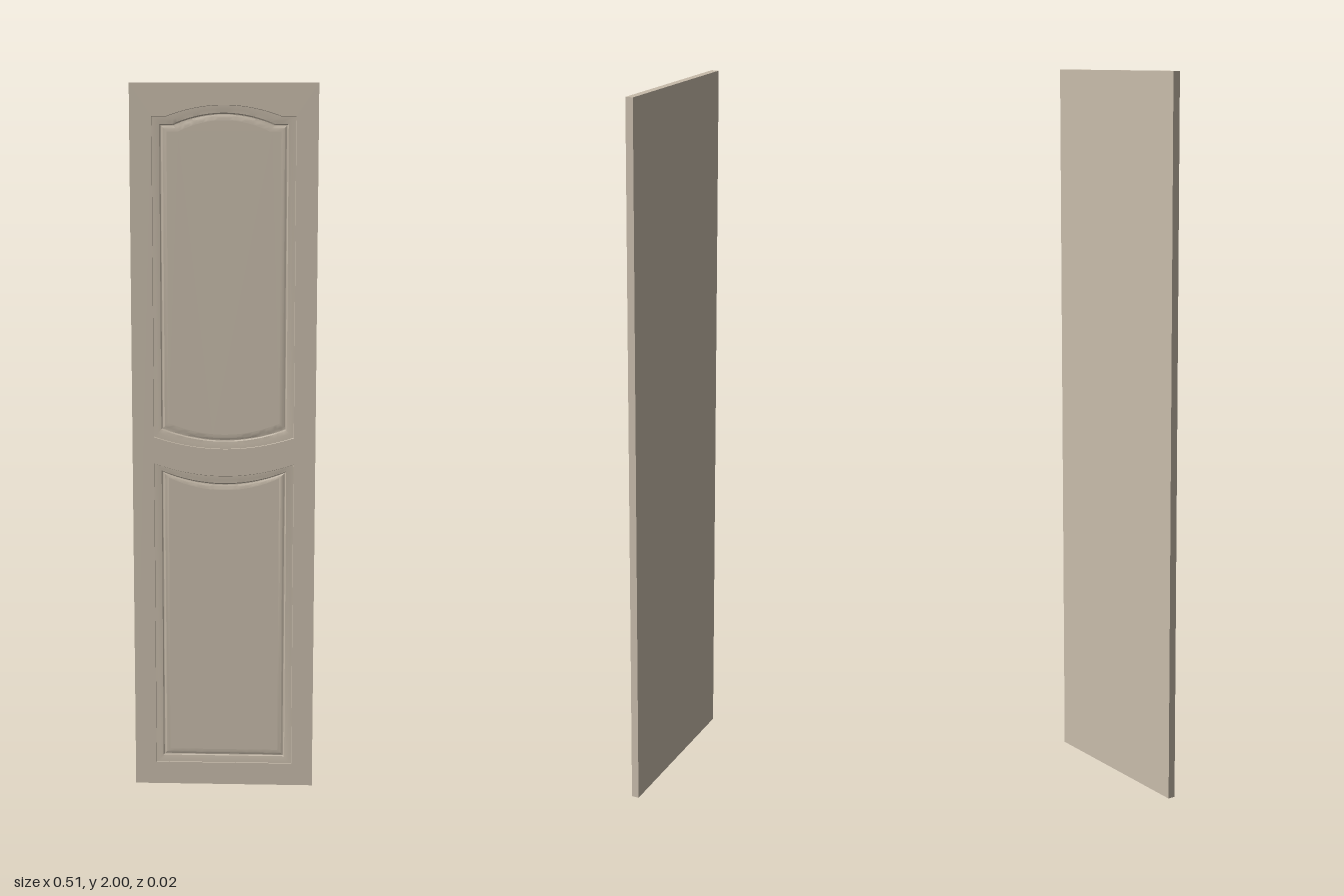
import * as THREE from 'three';
import { toCreasedNormals } from 'three/addons/utils/BufferGeometryUtils.js';

const HALF_W = 0.256, HEIGHT = 2, FACE = 0.0105, SEGMENTS = 40;

// Edge curves: t runs from -1 to 1 across the panel
const upperPanel = {
  bottom: t => 1.02 + 0.033 * t * t,
  top: t => 1.888 + 0.03 * Math.max(0, 1 - (t / 0.8) ** 2),
};
const lowerPanel = {
  bottom: () => 0.09,
  top: t => 0.895 + 0.035 * t * t,
};

// Moulding section: [outward offset from the groove, z]
const section = [
  [0.024, FACE], [0.023, 0.0092], [0.012, 0.0088], [0.003, 0.0076],
  [0, 0.0058], [-0.002, 0.0058], [-0.007, 0.0078], [-0.013, 0.0088], [-0.017, 0.009],
];

// Counter-clockwise panel outline, grown by an offset
function outline(panel, offset) {
  const w = 0.172 + offset, points = [];
  for (let i = 0; i <= SEGMENTS; i++) {
    const t = (2 * i) / SEGMENTS - 1;
    points.push(new THREE.Vector2(t * w, panel.bottom(t) - offset));
  }
  for (let i = SEGMENTS; i >= 0; i--) {
    const t = (2 * i) / SEGMENTS - 1;
    points.push(new THREE.Vector2(t * w, panel.top(t) + offset));
  }
  return points;
}

// Loft the moulding section around the outline
function mouldingGeometry(panel) {
  const positions = [], index = [];
  const count = 2 * (SEGMENTS + 1);
  section.forEach(([offset, z], k) => {
    for (const p of outline(panel, offset)) positions.push(p.x, p.y, z);
    if (k === 0) return;
    for (let i = 0; i < count; i++) {
      const j = (i + 1) % count, a = (k - 1) * count, b = k * count;
      index.push(a + i, a + j, b + j, a + i, b + j, b + i);
    }
  });
  const geometry = new THREE.BufferGeometry();
  geometry.setAttribute('position', new THREE.Float32BufferAttribute(positions, 3));
  geometry.setIndex(index);
  return toCreasedNormals(geometry, 0.35);
}

export function createModel() {
  const door = new THREE.Group();
  door.name = 'door';
  const material = new THREE.MeshStandardMaterial({ color: 0xc8bcab });
  const add = (name, geometry) => {
    const mesh = new THREE.Mesh(geometry, material);
    mesh.name = name;
    door.add(mesh);
    return mesh;
  };

  // Solid back of the door
  const backDepth = FACE + 0.001;
  add('backSlab', new THREE.BoxGeometry(2 * HALF_W, HEIGHT, backDepth))
    .position.set(0, HEIGHT / 2, -FACE + backDepth / 2);

  // Front frame with an opening for each panel
  const frame = new THREE.Shape([
    new THREE.Vector2(-HALF_W, 0), new THREE.Vector2(HALF_W, 0),
    new THREE.Vector2(HALF_W, HEIGHT), new THREE.Vector2(-HALF_W, HEIGHT),
  ]);
  for (const panel of [upperPanel, lowerPanel]) {
    frame.holes.push(new THREE.Path(outline(panel, section[0][0])));
  }
  add('frontFrame', new THREE.ExtrudeGeometry(frame, { depth: FACE - 0.001, bevelEnabled: false }))
    .position.z = 0.001;

  // Moulding and raised field of each panel
  for (const [name, panel] of [['upper', upperPanel], ['lower', lowerPanel]]) {
    add(name + 'Moulding', mouldingGeometry(panel));
    const [offset, z] = section[section.length - 1];
    add(name + 'Panel', new THREE.ShapeGeometry(new THREE.Shape(outline(panel, offset))))
      .position.z = z;
  }
  return door;
}
